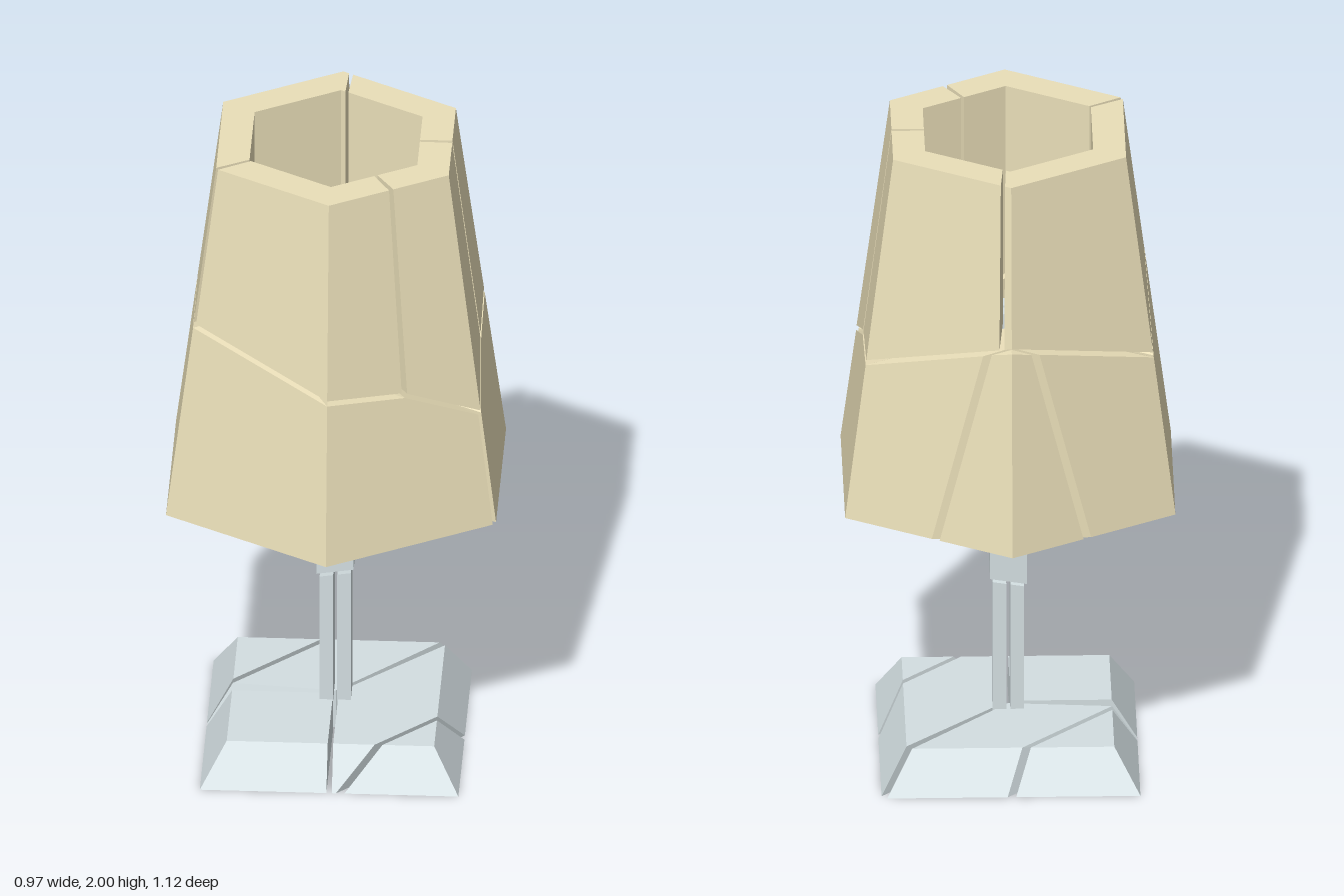
import * as THREE from 'three';
import { ConvexGeometry } from 'three/addons/geometries/ConvexGeometry.js';

const shadeMat = new THREE.MeshStandardMaterial({ color: 0xeadfb9, flatShading: true });
const standMat = new THREE.MeshStandardMaterial({ color: 0xd3dee1, flatShading: true });

const V = (x, y, z) => new THREE.Vector3(x, y, z);
const BOTTOM = 0.87, TOP = 2, GAP = 0.008;

// Point on a hexagon of radius r; t counts corners from the front one round by +x
function hexPoint(t, y, r) {
  const corner = k => V(Math.sin(k * Math.PI / 3) * r, y, Math.cos(k * Math.PI / 3) * r);
  const k = Math.floor(t);
  return corner(k).lerp(corner(k + 1), t - k);
}
const outerRadius = y => 0.56 - 0.165 * (y - BOTTOM) / (TOP - BOTTOM);
const outer = (t, y) => hexPoint(t, y, outerRadius(y));
const inner = (t, y) => hexPoint(t, y, 0.285);

// Height of the jagged crack running round the shade
const crackLine = [[0, 1.38], [0.52, 1.345], [1, 1.23], [1.5, 1.34], [2, 1.36], [3, 1.5], [4, 1.375], [5, 1.49], [6, 1.38]];
function crackY(t) {
  const i = Math.max(1, crackLine.findIndex(p => p[0] >= t));
  const [a, b] = [crackLine[i - 1], crackLine[i]];
  return a[1] + (b[1] - a[1]) * (t - a[0]) / (b[0] - a[0]);
}

function shard(parent, name, material, points) {
  const mesh = new THREE.Mesh(new ConvexGeometry(points), material);
  mesh.name = name;
  parent.add(mesh);
}

// Piece of shade wall between two positions, above or below the crack
function wall(parent, name, t0, t1, upper) {
  const pts = [];
  for (const t of [t0, t1]) {
    const ys = upper ? [crackY(t) + GAP, TOP] : [BOTTOM, crackY(t) - GAP];
    for (const y of ys) pts.push(outer(t, y), inner(t, y));
  }
  shard(parent, name, shadeMat, pts);
}

// Prism shard between a bottom and a top outline, given as [x, z] or [x, z, y]
function prism(parent, name, lower, upper, y0, y1) {
  shard(parent, name, standMat, [
    ...lower.map(([x, z, y = y0]) => V(x, y, z)),
    ...upper.map(([x, z, y = y1]) => V(x, y, z)),
  ]);
}

function buildShade() {
  const shade = new THREE.Group();
  shade.name = 'shade';
  const e = 0.018;

  // Upper wall, split by four upright cracks
  [[0, 0.52 - e], [0.52 + e, 1], [1, 1.5 - e], [1.5 + e, 2], [2, 2.93 - e], [2.93 + e, 3], [3, 4], [4, 5 - e], [5 + e, 6]]
    .forEach(([a, b]) => wall(shade, 'upperShadeShard', a, b, true));

  // Lower wall apart from the two sides that meet at the back corner
  [[0, 0.52], [0.52, 1 - e], [1 + e, 1.5], [1.5, 2], [4 + e, 5], [5, 6]]
    .forEach(([a, b]) => wall(shade, 'lowerShadeShard', a, b, false));

  // Back sides, cut flat where the back corner has split off
  const cutAt = (z, y) => 2 * (1 - z / outerRadius(y)); // share of a side lying beyond z
  const high = 1.5 - GAP;
  for (const s of [-1, 1]) {
    const end = 3 + s, endY = crackY(end) - GAP, z = 0.425;
    const f0 = cutAt(z, BOTTOM);
    let f1 = cutAt(z, high);
    const y1 = crackY(3 + s * f1) - GAP;
    f1 = cutAt(z, y1);
    shard(shade, 'lowerBackShard', shadeMat, [
      outer(end, BOTTOM), outer(end, endY), inner(end, BOTTOM), inner(end, endY),
      outer(3 + s * f0, BOTTOM), outer(3 + s * f1, y1),
      V(0, BOTTOM, -z), V(0, high, -z), inner(3, BOTTOM), inner(3, high),
    ]);
  }

  // Split-off back corner
  const chip = [outer(3, BOTTOM), outer(3, high)];
  for (const s of [-1, 1]) {
    chip.push(outer(3 + s * cutAt(0.438, BOTTOM), BOTTOM), outer(3 + s * cutAt(0.438, 1.475), 1.475));
  }
  chip.push(V(0, high, -0.438));
  shard(shade, 'backCornerShard', shadeMat, chip);
  return shade;
}

function buildBase() {
  const base = new THREE.Group();
  base.name = 'base';
  const B = 0.38, T = 0.305, g = GAP;
  const piece = (name, lower, upper) => prism(base, name, lower, upper, 0, 0.125);

  piece('baseFrontRightShard',
    [[-g, g], [-B, g], [-B, B], [-g, B]],
    [[-g, g], [-T, g], [-T, T], [-g, T]]);
  piece('baseSideShard',
    [[g, 0], [g, B], [0.02, B], [B, 0.02], [B, -B + 2 * g]],
    [[g, 0], [g, T], [0.13, T], [T, 0.13], [T, -T + 2 * g]]);
  piece('baseBackShard',
    [[0, -g], [B - 2 * g, -B], [0.01, -B], [-B, -g]],
    [[0, -g], [T - 2 * g, -T], [-0.035, -T], [-T, -0.035]]);
  piece('baseFrontCorner',
    [[0.045, B], [B, B], [B, 0.045]],
    [[0.153, T], [T, T], [T, 0.153]]);
  piece('baseBackCorner',
    [[-0.015, -B], [-B, -B], [-B, -0.015]],
    [[-0.06, -T], [-T, -T], [-T, -0.06]]);
  return base;
}

function buildPole() {
  const pole = new THREE.Group();
  pole.name = 'pole';
  // Slanted break across the pole
  const breakY = (x, z) => 0.547 + 0.16 * x + 0.16 * z;
  const cap = (pts, d) => pts.map(([x, z]) => [x, z, breakY(x, z) + d]);

  // Lower half, split upright
  const w = 0.046;
  for (const [a, b] of [[-w, -0.006], [0.006, w]]) {
    const pts = [[a, -w], [b, -w], [b, w], [a, w]];
    prism(pole, 'lowerPoleShard', pts, cap(pts, -0.007), 0.12, 0);
  }

  // Upper half, split on a slant
  const u = 0.054;
  const front = [[-u, -0.036], [-u, u], [u, u], [u, 0.03]];
  const back = [[-u, -0.05], [-u, -u], [u, -u], [u, 0.016]];
  for (const pts of [front, back]) prism(pole, 'upperPoleShard', cap(pts, 0.007), pts, 0, 1.42);
  return pole;
}

export function createModel() {
  const lamp = new THREE.Group();
  lamp.name = 'brokenTableLamp';
  lamp.add(buildShade(), buildPole(), buildBase());
  return lamp;
}
